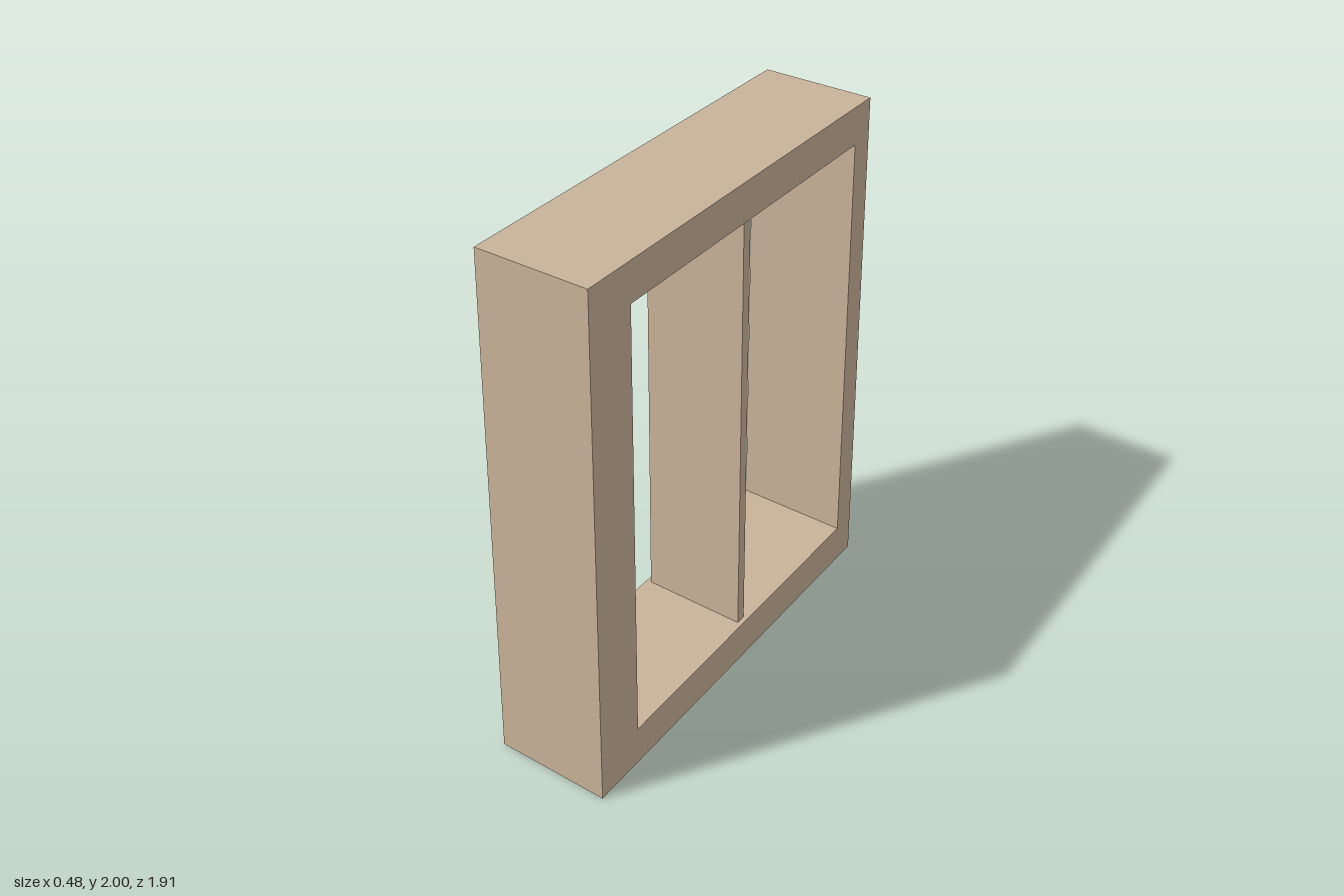
import * as THREE from 'three';

const DEPTH = 0.47;

// Skews a geometry laid out with depth on x and width on z into the slanted plan
function skew(geometry) {
  const g = geometry.index ? geometry.toNonIndexed() : geometry;
  const p = g.attributes.position;
  for (let i = 0; i < p.count; i++) {
    const x = p.getX(i), z = p.getZ(i);
    p.setX(i, x - 0.0055 * z);
    p.setZ(i, z + 0.127 * x);
  }
  g.computeVertexNormals();
  return g;
}

// Traces a rectangle in the side elevation (shape x is minus z)
function rectangle(path, z0, z1, y0, y1) {
  path.moveTo(-z1, y0);
  path.lineTo(-z0, y0);
  path.lineTo(-z0, y1);
  path.lineTo(-z1, y1);
  path.closePath();
  return path;
}

export function createModel() {
  const model = new THREE.Group();
  const wood = new THREE.MeshStandardMaterial({ color: 0xc8b299 });
  wood.name = 'paleWood';

  // Surround with one tall opening, thicker at the front jamb
  const shape = rectangle(new THREE.Shape(), -0.9275, 0.9275, 0, 2);
  shape.holes.push(rectangle(new THREE.Path(), -0.82, 0.695, 0.15, 1.85));
  const frameGeometry = new THREE.ExtrudeGeometry(shape, { depth: DEPTH, bevelEnabled: false });
  frameGeometry.translate(0, 0, -DEPTH / 2).rotateY(Math.PI / 2);
  const frame = new THREE.Mesh(skew(frameGeometry), wood);
  frame.name = 'windowFrame';
  model.add(frame);

  // Central upright, set slightly back from both faces
  const upright = new THREE.BoxGeometry(DEPTH - 0.04, 1.7, 0.044).translate(0, 1, -0.061);
  const mullion = new THREE.Mesh(skew(upright), wood);
  mullion.name = 'mullion';
  model.add(mullion);

  return model;
}
